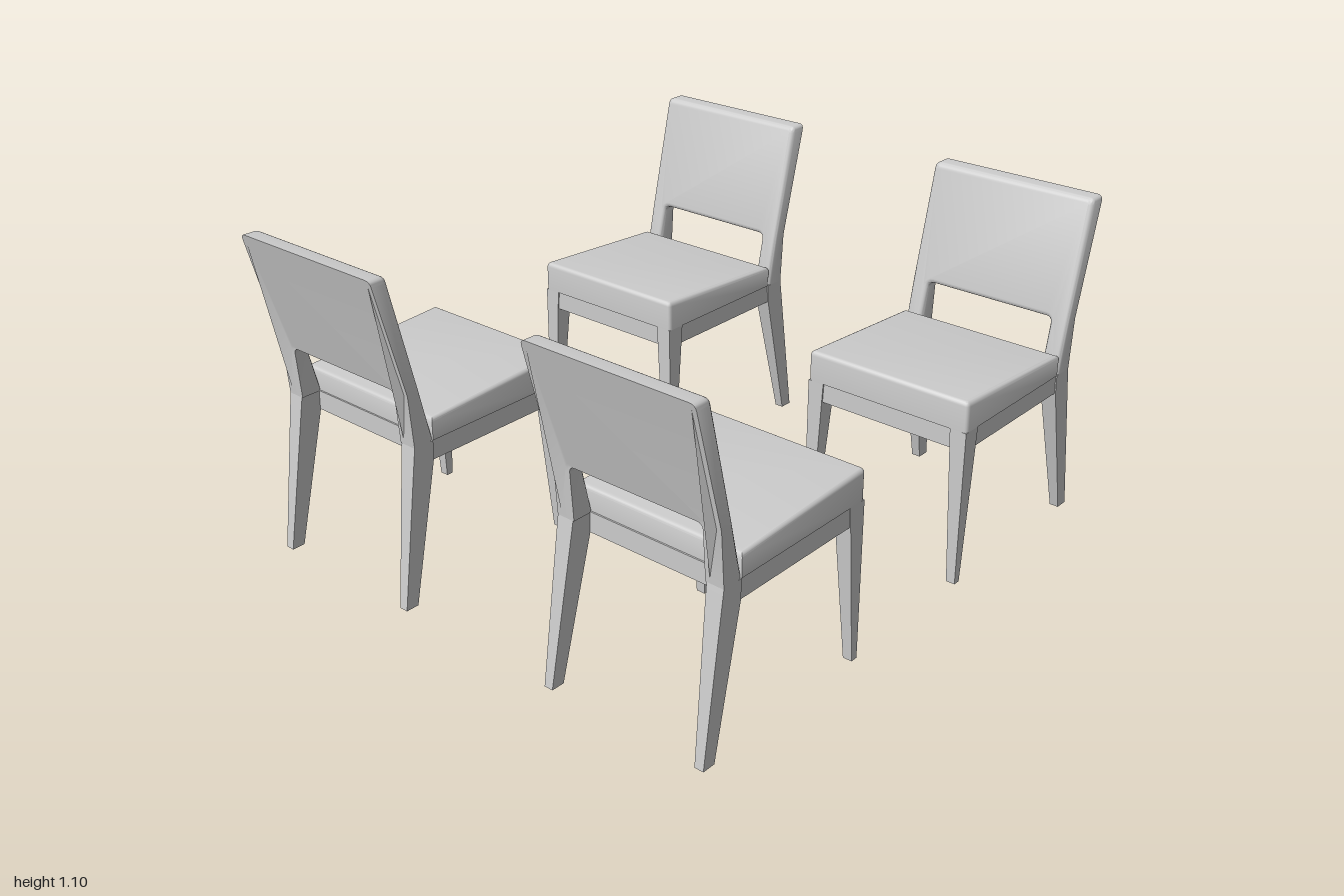
import * as THREE from 'three';
import { toCreasedNormals } from 'three/addons/utils/BufferGeometryUtils.js';

const material = new THREE.MeshStandardMaterial({ color: 0xcccccc });
const HALF = 0.297;      // half the chair's width
const SEAT_Y = 0.532;    // top of the legs and rails
const lerp = THREE.MathUtils.lerp;

function mesh(name, geometry) {
  const m = new THREE.Mesh(geometry, material);
  m.name = name;
  return m;
}

// Move every vertex of a geometry by a rule
function reshape(geometry, rule) {
  const p = geometry.attributes.position;
  const v = new THREE.Vector3();
  for (let i = 0; i < p.count; i++) {
    rule(v.fromBufferAttribute(p, i));
    p.setXYZ(i, v.x, v.y, v.z);
  }
  return geometry;
}

// Upholstered slab: depth runs 0..1, rounded at the 1 end and flat at the 0 end
function pad(shape, thickness, bevel) {
  const geometry = new THREE.ExtrudeGeometry(shape, {
    depth: thickness - bevel, curveSegments: 4,
    bevelThickness: bevel, bevelSize: bevel, bevelOffset: -bevel, bevelSegments: 4,
  });
  return reshape(geometry, (v) => { v.z = Math.max(v.z, 0) / thickness; });
}

// Tapered leg from sections [y, xFront, xBack, zInner], listed bottom to top
function leg(name, sections, side) {
  const n = sections.length - 1;
  const geometry = new THREE.BoxGeometry(1, 1, 1, 1, n, 1);
  reshape(geometry, (v) => {
    const [y, x0, x1, inner] = sections[Math.round((v.y + 0.5) * n)];
    const outward = v.z * side > 0;
    v.set(v.x < 0 ? x0 : x1, y, side * (outward ? HALF : inner));
  });
  return mesh(name, toCreasedNormals(geometry, 0.1));
}

function rail(name, x0, x1, z0, z1) {
  const geometry = new THREE.BoxGeometry(x1 - x0, SEAT_Y - 0.466, z1 - z0);
  geometry.translate((x0 + x1) / 2, (SEAT_Y + 0.466) / 2, (z0 + z1) / 2);
  return mesh(name, geometry);
}

function seat() {
  const x0 = 0.265, x1 = 0.812, r = 0.015;
  const s = new THREE.Shape();
  s.moveTo(x0 + r, -HALF);
  s.lineTo(x1, -HALF);
  s.lineTo(x1, HALF);
  s.lineTo(x0 + r, HALF);
  s.quadraticCurveTo(x0, HALF, x0, HALF - r);
  s.lineTo(x0, r - HALF);
  s.quadraticCurveTo(x0, -HALF, x0 + r, -HALF);
  const geometry = pad(s, 0.1, 0.016).rotateX(-Math.PI / 2);
  // the top slopes down towards the back
  reshape(geometry, (v) => {
    v.y = lerp(SEAT_Y, lerp(0.636, 0.605, (v.x - x0) / (x1 - x0)), v.y);
  });
  return mesh('seatCushion', toCreasedNormals(geometry, 0.6));
}

function backrest() {
  const top = 1.1, gap = 0.235, gapTop = 0.708, r = 0.02;
  // panel with two posts and an opening between them
  const s = new THREE.Shape();
  s.moveTo(-HALF, SEAT_Y);
  s.lineTo(-gap, SEAT_Y);
  s.lineTo(-gap, gapTop - r);
  s.quadraticCurveTo(-gap, gapTop, r - gap, gapTop);
  s.lineTo(gap - r, gapTop);
  s.quadraticCurveTo(gap, gapTop, gap, gapTop - r);
  s.lineTo(gap, SEAT_Y);
  s.lineTo(HALF, SEAT_Y);
  s.lineTo(HALF, gapTop);
  s.lineTo(HALF, top - r);
  s.quadraticCurveTo(HALF, top, HALF - r, top);
  s.lineTo(r - HALF, top);
  s.quadraticCurveTo(-HALF, top, -HALF, top - r);
  s.lineTo(-HALF, gapTop);
  // lean it back, with a slight bend in the rear face
  const geometry = reshape(pad(s, 0.06, 0.016), ({ x, y, z }) => {}, 0);
  reshape(geometry, (v) => {
    const front = lerp(0.806, 0.94, (v.y - SEAT_Y) / (top - SEAT_Y));
    const rear = v.y < gapTop
      ? lerp(0.885, 0.897, (v.y - SEAT_Y) / (gapTop - SEAT_Y))
      : lerp(0.897, 1, (v.y - gapTop) / (top - gapTop));
    v.set(lerp(rear, front, v.z), v.y, v.x);
  });
  return mesh('backrest', toCreasedNormals(geometry, 0.6));
}

// One chair facing -x
function chair() {
  const g = new THREE.Group();
  g.add(seat(), backrest());
  for (const side of [-1, 1]) {
    g.add(leg('frontLeg', [[0, 0.265, 0.29, 0.266], [SEAT_Y, 0.265, 0.332, 0.239]], side));
    g.add(leg('backLeg', [
      [0, 0.917, 0.963, 0.266],
      [0.466, 0.815, 0.895, 0.242],
      [SEAT_Y, 0.812, 0.885, 0.239],
    ], side));
    const z = side * (HALF - 0.015);
    g.add(rail('sideRail', 0.325, 0.82, z - 0.011, z + 0.011));
  }
  g.add(rail('frontRail', 0.27, 0.292, -0.245, 0.245));
  g.add(rail('backRail', 0.795, 0.817, -0.275, 0.275));
  return g;
}

export function createModel() {
  const model = new THREE.Group();
  // two pairs of chairs facing each other
  for (const z of [-0.595, 0.595]) {
    for (const turn of [0, Math.PI]) {
      const c = chair();
      c.name = turn ? 'rightChair' : 'leftChair';
      c.rotation.y = turn;
      c.position.z = z;
      model.add(c);
    }
  }
  return model;
}
